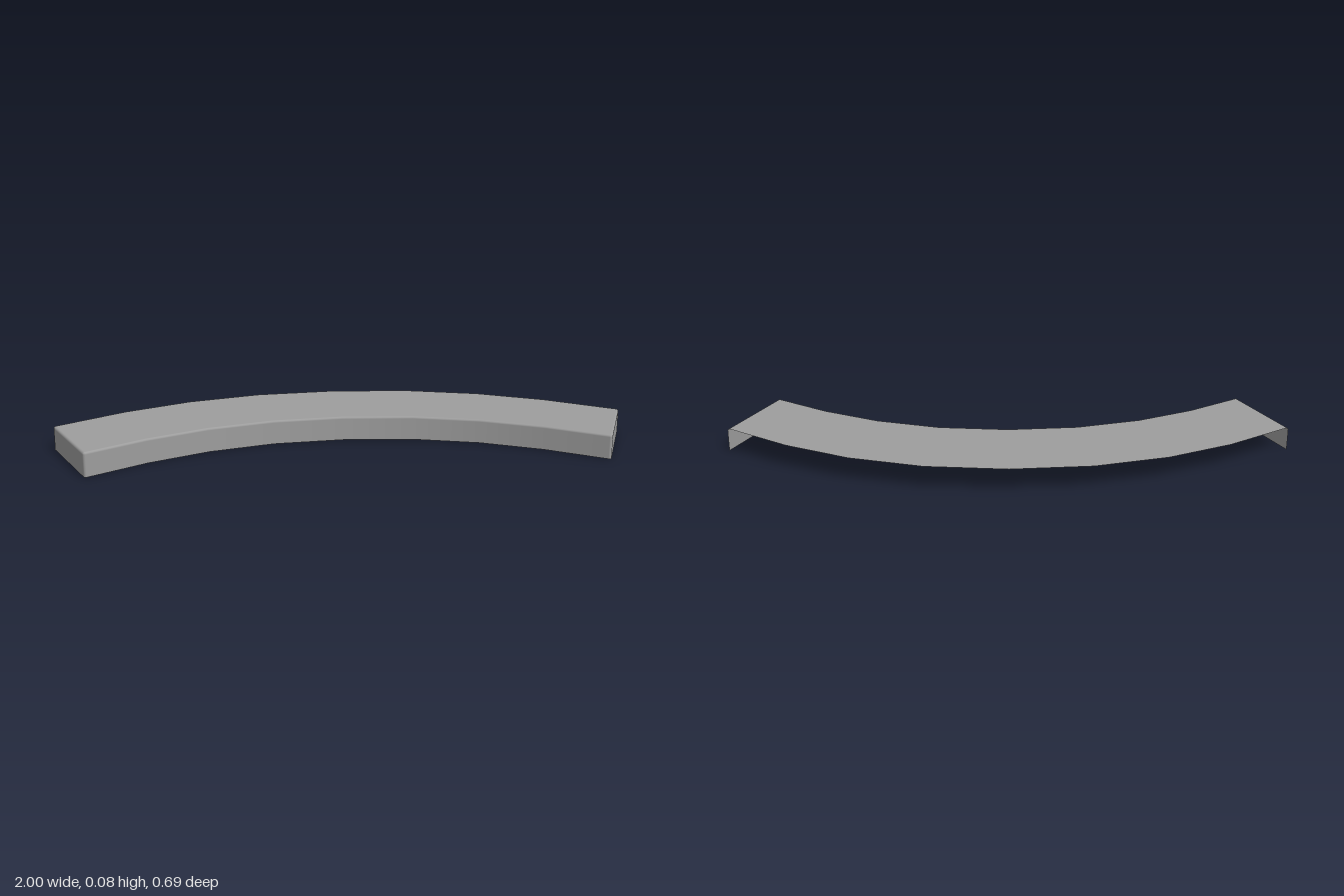
import * as THREE from 'three';

const HEIGHT = 0.084;
const RADIUS = 0.008;
const STEPS = 4;
const vec = (x, z) => new THREE.Vector2(x, z);

// Half outlines [x, z] from the middle to the end, mirrored to the full arc
const mirror = (half) =>
  [...half.slice(1).reverse().map(([x, z]) => [-x, z]), ...half].map(([x, z]) => vec(x, z));
const back = mirror([[0, -0.348], [0.282, -0.323], [0.538, -0.248], [0.766, -0.133], [1, 0.028]]);
const front = mirror([[0, 0.0205], [0.246, 0.043], [0.472, 0.111], [0.675, 0.214], [0.871, 0.348]]);
const LAST = back.length - 1;

// Outward direction of a wall running from a to b
const outward = (a, b) => vec(a.y - b.y, b.x - a.x).normalize();

// Rounded corner between two walls: points with their outward directions
function corner(a, b, c) {
  const n0 = outward(a, b);
  const n1 = outward(b, c);
  const centre = b.clone().addScaledVector(n0.clone().add(n1), -RADIUS / (1 + n0.dot(n1)));
  return Array.from({ length: STEPS + 1 }, (_, k) => {
    const n = n0.clone().lerp(n1, k / STEPS).normalize();
    return { p: centre.clone().addScaledVector(n, RADIUS), n };
  });
}

// Open rim: left end, front edge, right end
function makeRim() {
  const leftEnd = { p: back[0], n: outward(back[0], front[0]) };
  const rightEnd = { p: back[LAST], n: outward(front[LAST], back[LAST]) };
  const middle = front.slice(1, -1).map((p, i) => ({ p, n: outward(front[i], front[i + 2]) }));
  return [
    leftEnd,
    ...corner(back[0], front[0], front[1]),
    ...middle,
    ...corner(front[LAST - 1], front[LAST], back[LAST]),
    rightEnd,
  ];
}

export function createModel() {
  const positions = [];
  const normals = [];
  const index = [];

  // Row of the rim, moved in by the inset, its normals tilted up by the angle
  const addRow = (rim, inset, y, tilt) => {
    const start = positions.length / 3;
    const flat = Math.cos(tilt);
    for (const { p, n } of rim) {
      positions.push(p.x - n.x * inset, y, p.y - n.y * inset);
      normals.push(n.x * flat, Math.sin(tilt), n.y * flat);
    }
    return start;
  };
  const bridge = (low, high, count) => {
    for (let i = 0; i < count - 1; i++) {
      index.push(low + i, low + i + 1, high + i + 1, low + i, high + i + 1, high + i);
    }
  };

  // Front and end walls, rounding over into the top
  const rim = makeRim();
  const rows = [addRow(rim, 0, 0, 0)];
  for (let k = 0; k <= STEPS; k++) {
    const a = (k / STEPS) * Math.PI / 2;
    rows.push(addRow(rim, RADIUS * (1 - Math.cos(a)), HEIGHT - RADIUS * (1 - Math.sin(a)), a));
  }
  for (let r = 0; r < rows.length - 1; r++) bridge(rows[r], rows[r + 1], rim.length);

  // Flat top sheet from the front edge to the back; back and underside stay open
  const inner = [rim[0], ...back.slice(1, -1).map((p) => ({ p, n: vec(0, 0) })), rim[rim.length - 1]];
  const backRow = addRow(inner, RADIUS, HEIGHT, Math.PI / 2);
  bridge(rows[rows.length - 1] + 1 + STEPS, backRow, LAST + 1);

  const geometry = new THREE.BufferGeometry();
  geometry.setAttribute('position', new THREE.Float32BufferAttribute(positions, 3));
  geometry.setAttribute('normal', new THREE.Float32BufferAttribute(normals, 3));
  geometry.setIndex(index);

  const material = new THREE.MeshStandardMaterial({ color: 0x9d9d9d, side: THREE.DoubleSide });
  const shell = new THREE.Mesh(geometry, material);
  shell.name = 'curvedShell';

  const group = new THREE.Group();
  group.name = 'curvedLedge';
  group.add(shell);
  return group;
}
